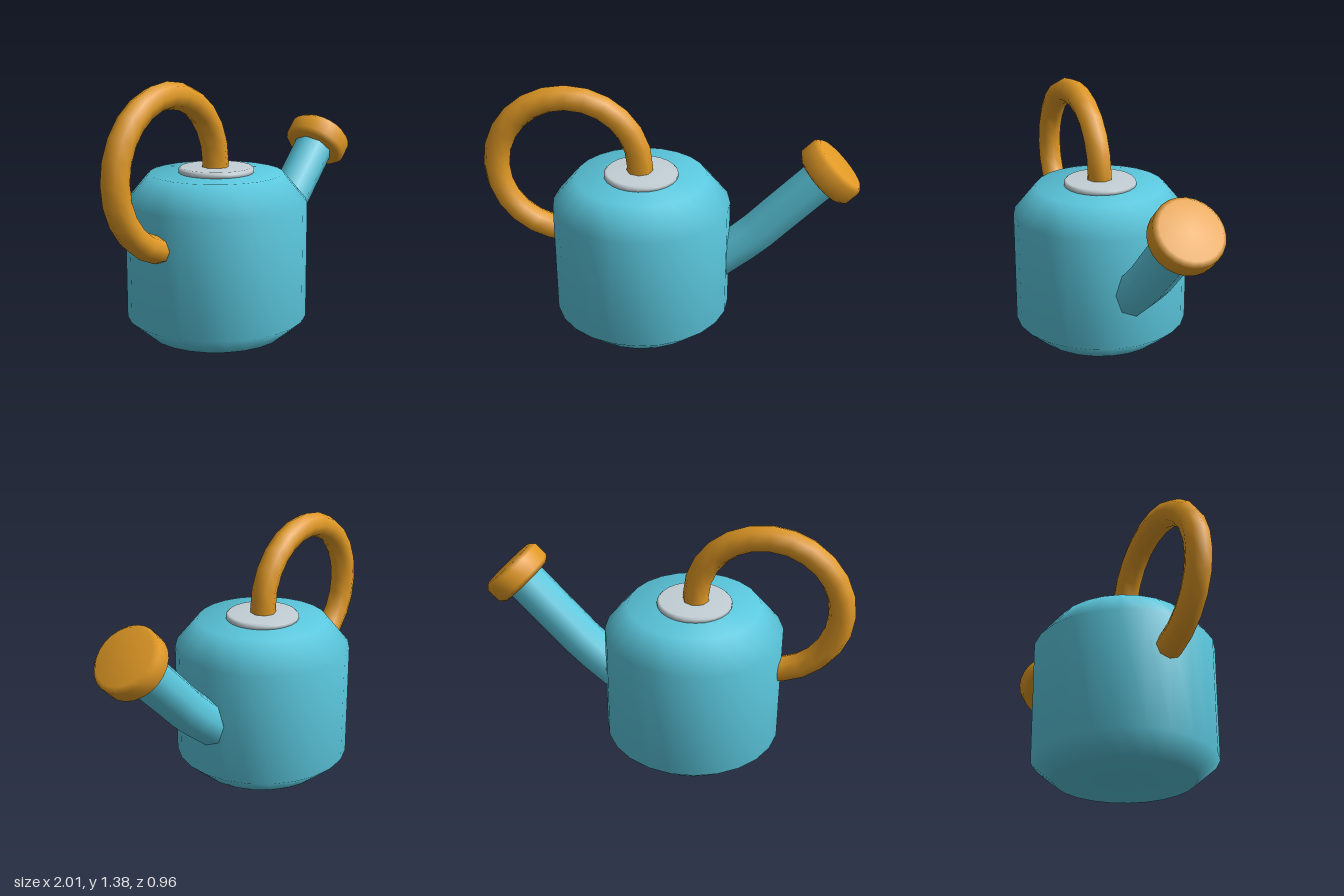
import * as THREE from 'three';
import { mergeVertices } from 'three/addons/utils/BufferGeometryUtils.js';

// Turned solid with smooth, area-weighted normals from a [radius, height] profile
function turned(profile, sides) {
  const lathe = new THREE.LatheGeometry(profile.map(([r, y]) => new THREE.Vector2(r, y)), sides);
  lathe.deleteAttribute('uv');
  lathe.deleteAttribute('normal');
  const geometry = mergeVertices(lathe, 1e-4);
  geometry.computeVertexNormals();
  return geometry;
}

// Bevelled disc profile from y0 to y1
const disc = (r, y0, y1, bevel) => [
  [0, y0], [r - bevel, y0], [r, y0 + bevel], [r, y1 - bevel], [r - bevel, y1], [0, y1],
];

export function createModel() {
  const blue = new THREE.MeshStandardMaterial({ color: 0x5bc8de });
  blue.name = 'skyBlue';
  const orange = new THREE.MeshStandardMaterial({ color: 0xdf9825 });
  orange.name = 'orange';
  const grey = new THREE.MeshStandardMaterial({ color: 0xc3d0d5 });
  grey.name = 'paleGrey';

  const group = new THREE.Group();
  group.name = 'wateringCan';
  const add = (name, geometry, material, x = 0, y = 0) => {
    const mesh = new THREE.Mesh(geometry, material);
    mesh.name = name;
    mesh.position.set(x, y, 0);
    group.add(mesh);
    return mesh;
  };

  // Tank with chamfered shoulder and base
  add('tank', turned([
    [0, 0], [0.365, 0], [0.48, 0.1], [0.48, 0.72], [0.355, 0.87], [0, 0.87],
  ], 24), blue, -0.16);

  // Lid on top of the tank
  add('lid', turned(disc(0.2, 0.86, 0.9, 0.012), 24), grey, -0.16);

  // Hooped handle from the lid round to the back of the tank
  const start = THREE.MathUtils.degToRad(-15);
  const hoop = new THREE.TorusGeometry(0.385, 0.07, 8, 20, THREE.MathUtils.degToRad(300));
  hoop.rotateZ(start);
  add('handle', hoop, orange, -0.55, 0.92);

  // Slightly bent spout
  const path = new THREE.CatmullRomCurve3([
    [0.12, 0.266], [0.25, 0.37], [0.45, 0.53], [0.58, 0.66], [0.82, 0.9],
  ].map(([x, y]) => new THREE.Vector3(x, y, 0)));
  add('spout', new THREE.TubeGeometry(path, 8, 0.115, 8), blue);

  // Sprinkler head facing up and outwards
  const head = add('sprinklerHead', turned(disc(0.183, -0.066, 0.066, 0.024), 24), orange, 0.843, 0.92);
  head.rotation.z = -Math.PI / 4;

  return group;
}
